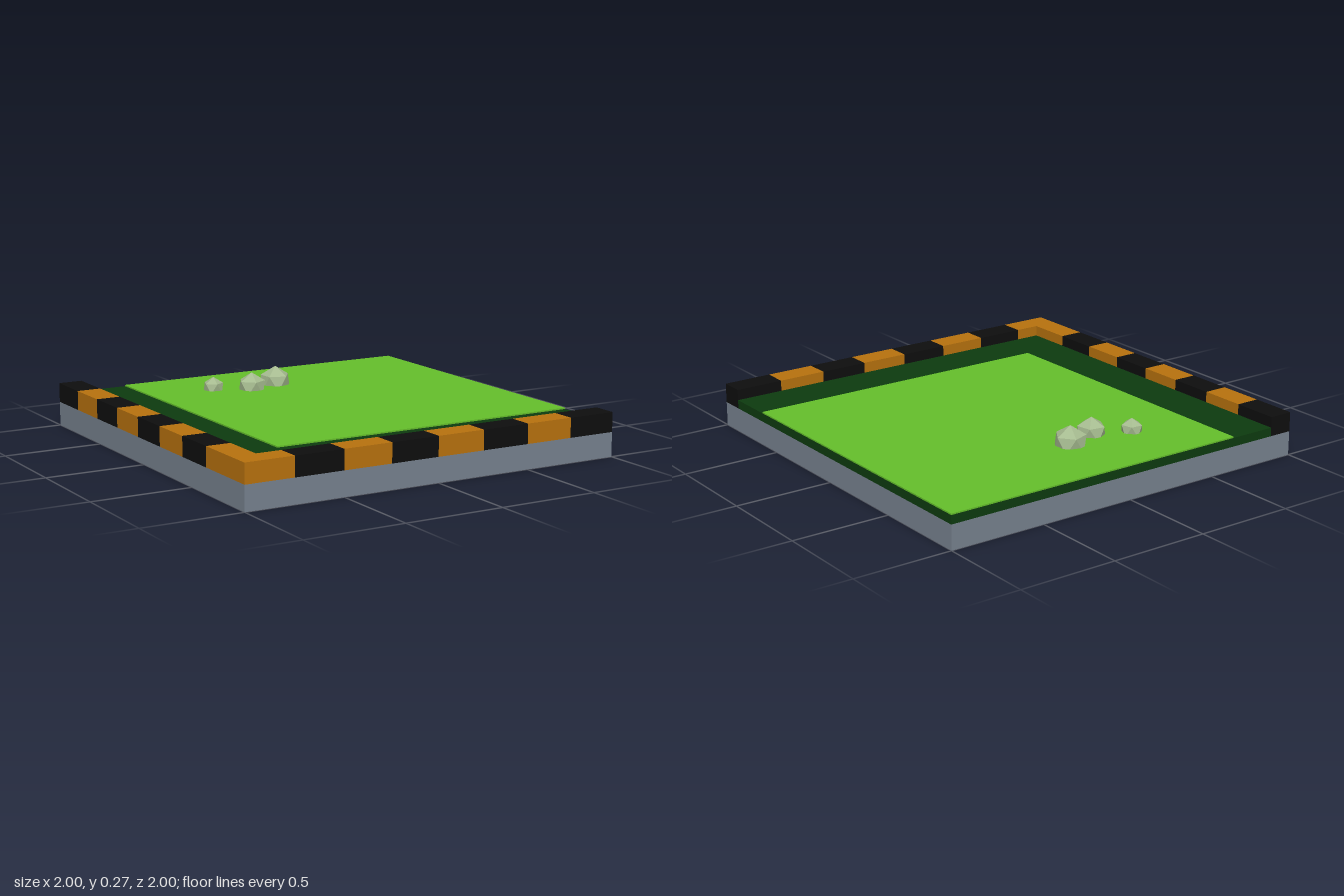
import * as THREE from 'three';

const paint = (name, color, extra = {}) => {
  const m = new THREE.MeshStandardMaterial({ color, ...extra });
  m.name = name;
  return m;
};

export function createModel() {
  const slate = paint('slate', 0x77828f);
  const orange = paint('orange', 0xb8720e);
  const black = paint('black', 0x0e0e0e);
  const darkGreen = paint('darkGreen', 0x0d3b0f);
  const lightGreen = paint('lightGreen', 0x65bf2b);
  const stone = paint('stone', 0xa6bb90, { flatShading: true });

  const model = new THREE.Group();
  model.name = 'grassCornerTile';

  // Box given by its lower and upper corners
  const block = (name, material, [x0, y0, z0], [x1, y1, z1], parent = model) => {
    const mesh = new THREE.Mesh(new THREE.BoxGeometry(x1 - x0, y1 - y0, z1 - z0), material);
    mesh.position.set((x0 + x1) / 2, (y0 + y1) / 2, (z0 + z1) / 2);
    mesh.name = name;
    parent.add(mesh);
  };

  const baseTop = 0.122, grassTop = 0.166, lawnTop = 0.173, curbTop = 0.22;
  const inner = 0.877;   // inside edge of the curb

  // Ground layers
  block('base', slate, [-1, 0, -1], [1, baseTop, 1]);
  block('grassBorder', darkGreen, [-inner, baseTop, -1], [1, grassTop, inner]);
  block('lawn', lightGreen, [-0.632, grassTop, -1], [1, lawnTop, 0.63]);

  // Striped curb along the front and one side, sharing an orange corner
  const curb = new THREE.Group();
  curb.name = 'curb';
  model.add(curb);
  const count = 8, sideStep = (1 + inner) / count;
  for (let i = 0; i < count; i++) {
    const x = -1 + i * 0.25, z = -1 + i * sideStep;
    block('frontCurbBlock', i % 2 ? black : orange,
      [x, baseTop, inner], [x + 0.25, curbTop, 1], curb);
    block('sideCurbBlock', i % 2 ? orange : black,
      [-1, baseTop, z], [-inner, curbTop, z + sideStep], curb);
  }

  // Faceted stones, each standing on a corner and sunk into the lawn
  const tilt = -Math.atan((1 + Math.sqrt(5)) / 2);
  const stones = [
    [-0.29, -0.655, 0.057, 1.2],
    [-0.11, -0.57, 0.077, -1.4],
    [0.06, -0.625, 0.086, 1.6],
  ];
  for (const [x, z, radius, turn] of stones) {
    const rock = new THREE.Mesh(
      new THREE.IcosahedronGeometry(radius, 0).rotateX(tilt).rotateY(turn), stone);
    rock.position.set(x, 0.183, z);
    rock.name = 'stone';
    model.add(rock);
  }
  return model;
}
